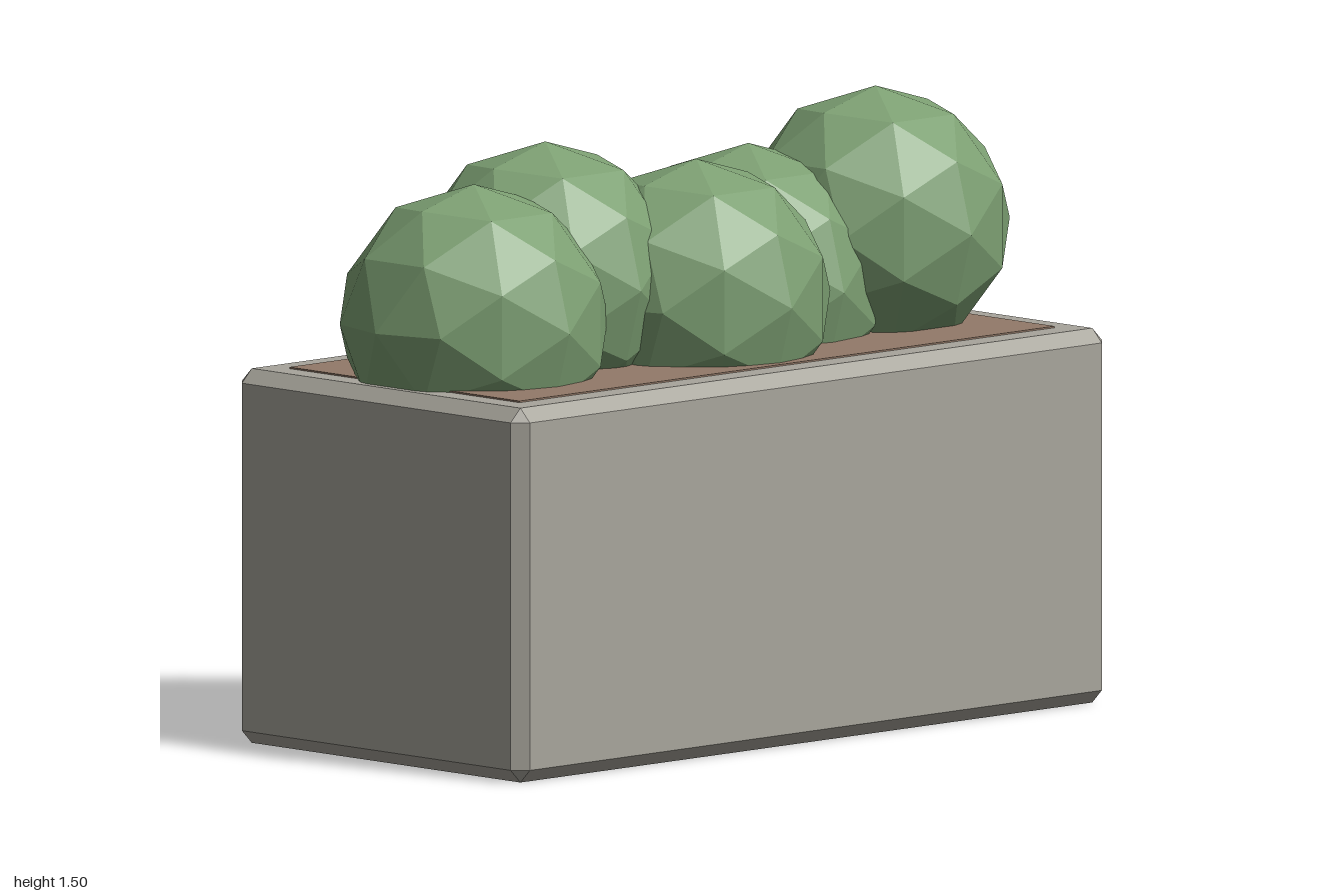
import * as THREE from 'three';
import { ConvexGeometry } from 'three/addons/geometries/ConvexGeometry.js';

const material = (name, color) => {
  const m = new THREE.MeshStandardMaterial({ color });
  m.name = name;
  return m;
};

// Box with flat bevels: three corner points at each of the eight corners
function chamferedBox(w, h, d, c) {
  const points = [];
  for (const x of [-1, 1]) for (const y of [-1, 1]) for (const z of [-1, 1]) {
    for (let axis = 0; axis < 3; axis++) {
      const cut = [c, c, c];
      cut[axis] = 0;
      points.push(new THREE.Vector3(
        x * (w / 2 - cut[0]), y * (h / 2 - cut[1]), z * (d / 2 - cut[2])));
    }
  }
  return new ConvexGeometry(points);
}

export function createModel() {
  const group = new THREE.Group();
  group.name = 'planter';
  const stone = material('stone', 0xa8a59c);
  const soilBrown = material('soil', 0x937a69);
  const leafGreen = material('leaf', 0x7da073);

  const add = (name, geometry, mat, x, y, z) => {
    const mesh = new THREE.Mesh(geometry, mat);
    mesh.name = name;
    mesh.position.set(x, y, z);
    group.add(mesh);
  };

  // Stone trough
  const height = 0.917;
  add('trough', chamferedBox(2, height, 1, 0.033), stone, 0, height / 2, 0);

  // Thin layer of soil inside the rim
  add('soil', new THREE.BoxGeometry(1.81, 0.008, 0.8), soilBrown, 0, height, 0);

  // Row of faceted bushes
  const bushGeometry = new THREE.IcosahedronGeometry(0.333, 1);
  bushGeometry.computeVertexNormals(); // unshared corners give flat facets
  const bushes = [
    [-0.667, 1.053, -0.003],
    [-0.333, 1.114, -0.098],
    [0, 1.057, 0.084],
    [0.333, 1.045, -0.077],
    [0.667, 1.162, 0.022],
  ];
  bushes.forEach(([x, y, z], i) => add(`bush${i + 1}`, bushGeometry, leafGreen, x, y, z));

  return group;
}
